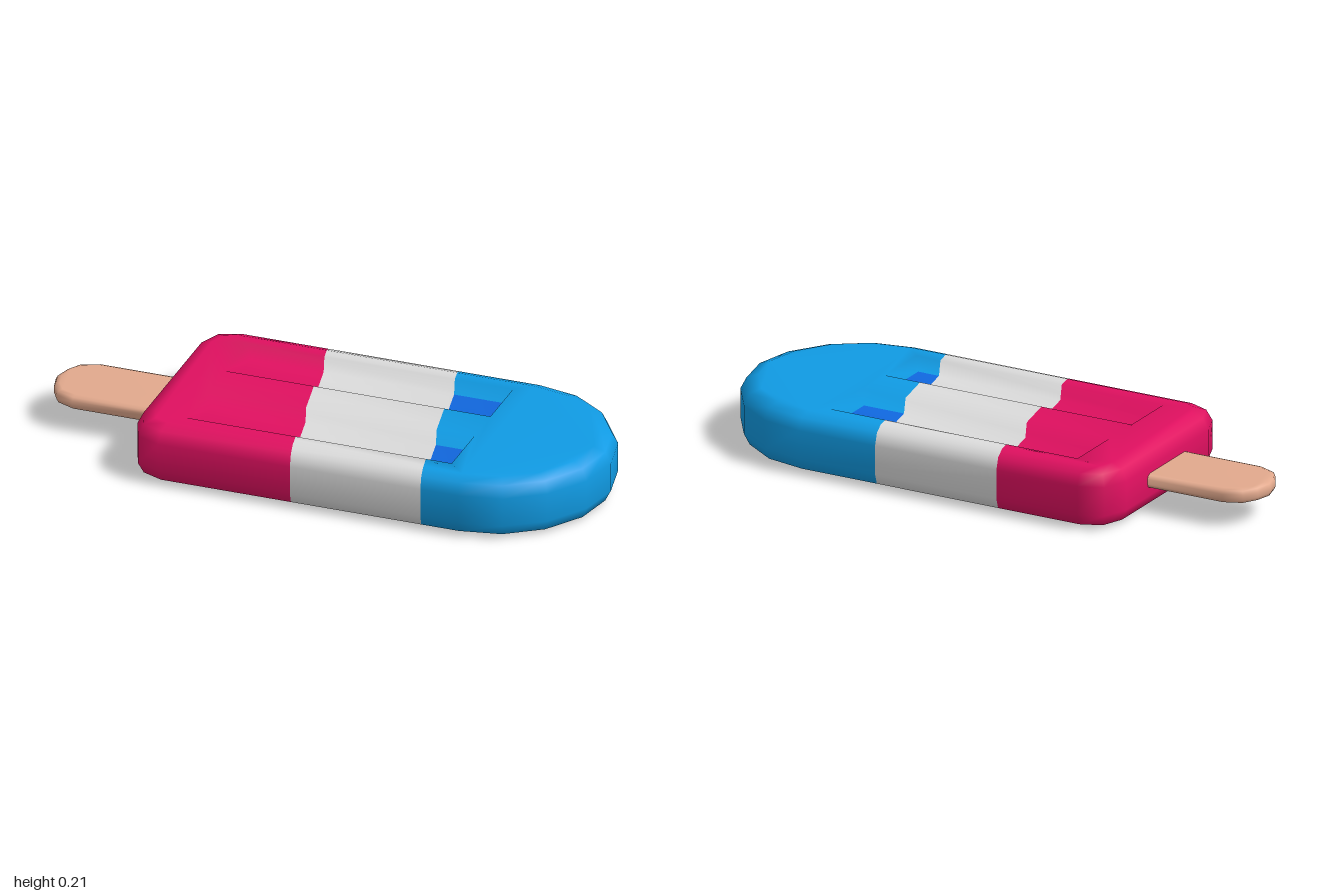
import * as THREE from 'three';
import { mergeVertices } from 'three/addons/utils/BufferGeometryUtils.js';

const mat = (name, color) => new THREE.MeshStandardMaterial({ name, color });
const V2 = (x, z) => new THREE.Vector2(x, z);
const V3 = (x, y, z) => new THREE.Vector3(x, y, z);

// Mirror half an outline (z >= 0, running towards +x) into a closed loop
function mirrorOutline(half) {
  const back = half.filter(([, z]) => z > 0).reverse().map(([x, z]) => [x, -z]);
  return [...half, ...back].map(([x, z]) => V2(x, z));
}

// Move every corner of the loop inwards by d
function inset(loop, d) {
  const normal = (a, b) => V2(a.y - b.y, b.x - a.x).normalize();
  return loop.map((p, i) => {
    const n1 = normal(loop.at(i - 1), p);
    const n2 = normal(p, loop[(i + 1) % loop.length]);
    const k = d / (1 + n1.dot(n2));
    return p.clone().addScaledVector(n1.add(n2), -k);
  });
}

// Triangle list; each triangle is turned so that it faces along a hint
class Surface {
  data = [];
  tri(a, b, c, hint) {
    const n = b.clone().sub(a).cross(c.clone().sub(a));
    const pts = n.dot(hint(V3(0, 0, 0).add(a).add(b).add(c).divideScalar(3))) < 0 ? [a, c, b] : [a, b, c];
    for (const p of pts) this.data.push(p.x, p.y, p.z);
  }
  quad(a, b, c, d, hint) {
    this.tri(a, b, c, hint);
    this.tri(a, c, d, hint);
  }
  geometry() {
    const g = new THREE.BufferGeometry();
    g.setAttribute('position', new THREE.Float32BufferAttribute(this.data, 3));
    const merged = mergeVertices(g, 1e-4);
    merged.computeVertexNormals();
    return merged;
  }
}

// Flat slab with rounded rim; profile rows are [inset, y], holes cut both faces
function slab(loop, profile, holes = []) {
  const s = new Surface();
  const mid = (profile[0][1] + profile.at(-1)[1]) / 2;
  const outward = (c) => V3(c.x - THREE.MathUtils.clamp(c.x, -0.45, 0.6), c.y - mid, c.z);
  const rings = profile.map(([d, y]) => inset(loop, d).map((p) => V3(p.x, y, p.y)));
  for (let j = 0; j + 1 < rings.length; j++) {
    loop.forEach((_, i) => {
      const k = (i + 1) % loop.length;
      s.quad(rings[j][i], rings[j][k], rings[j + 1][k], rings[j + 1][i], outward);
    });
  }
  for (const ring of [rings[0], rings.at(-1)]) {
    const contour = ring.map((p) => V2(p.x, p.z));
    const all = [...contour, ...holes.flat()].map((p) => V3(p.x, ring[0].y, p.y));
    for (const [a, b, c] of THREE.ShapeUtils.triangulateShape(contour, holes)) {
      s.tri(all[a], all[b], all[c], () => V3(0, ring[0].y - mid, 0));
    }
  }
  return s;
}

// Cut a triangle list with the slanted plane x - 0.2 z = limit, keeping one side
const SLANT = 0.2;
function clip(tris, limit, sign) {
  const side = (v) => sign * (v.p.x - SLANT * v.p.z - limit);
  const out = [];
  for (const t of tris) {
    const poly = [];
    t.forEach((a, i) => {
      const b = t[(i + 1) % 3];
      const da = side(a), db = side(b);
      if (da >= 0) poly.push(a);
      if (da * db < 0) {
        const f = da / (da - db);
        poly.push({ p: a.p.clone().lerp(b.p, f), n: a.n.clone().lerp(b.n, f).normalize() });
      }
    });
    for (let i = 1; i + 1 < poly.length; i++) out.push([poly[0], poly[i], poly[i + 1]]);
  }
  return out;
}

function meshFrom(name, tris, material) {
  const verts = tris.flat();
  const g = new THREE.BufferGeometry();
  g.setAttribute('position', new THREE.Float32BufferAttribute(verts.flatMap((v) => v.p.toArray()), 3));
  g.setAttribute('normal', new THREE.Float32BufferAttribute(verts.flatMap((v) => v.n.toArray()), 3));
  const mesh = new THREE.Mesh(g, material);
  mesh.name = name;
  return mesh;
}

export function createModel() {
  const group = new THREE.Group();
  group.name = 'icePop';
  const red = mat('raspberryRed', 0xe01060);
  const white = mat('iceWhite', 0xdcdcdc);
  const blue = mat('berryBlue', 0x109be4);
  const deepBlue = mat('deepBlue', 0x1068e0);
  const wood = mat('stickWood', 0xe2a98d);

  // Ice body with two long grooves in the top and the bottom
  const H = 0.213, DEPTH = 0.05;
  const outline = mirrorOutline([
    [-0.6, 0.28], [-0.565, 0.37], [-0.48, 0.405], [0.6, 0.405],
    [0.75, 0.375], [0.88, 0.285], [0.97, 0.15], [1, 0],
  ]);
  const rect = (x0, x1, z0, z1) => [V2(x0, z0), V2(x1, z0), V2(x1, z1), V2(x0, z1)];
  const grooves = [-0.19, 0.18].map((z) => ({
    z,
    rim: rect(-0.42, 0.535, z - 0.108, z + 0.108),
    floor: rect(-0.405, 0.52, z - 0.092, z + 0.092),
  }));
  const body = slab(
    outline,
    [[0.06, 0], [0.02, 0.015], [0, 0.055], [0, H - 0.055], [0.02, H - 0.015], [0.06, H]],
    grooves.map((g) => g.rim),
  );
  for (const { z, rim, floor } of grooves) {
    for (const [y, fy] of [[H, H - DEPTH], [0, DEPTH]]) {
      const top = rim.map((p) => V3(p.x, y, p.y));
      const low = floor.map((p) => V3(p.x, fy, p.y));
      const inward = (c) => V3(0.06, y, z).sub(c);
      body.quad(...low, inward);
      for (let i = 0; i < 4; i++) {
        const k = (i + 1) % 4;
        body.quad(top[i], top[k], low[k], low[i], inward);
      }
    }
  }

  // Split the body into three slanted colour bands
  const flat = body.geometry().toNonIndexed();
  const { position, normal } = flat.attributes;
  const tris = [];
  for (let i = 0; i < position.count; i += 3) {
    tris.push([0, 1, 2].map((k) => ({
      p: V3().fromBufferAttribute(position, i + k),
      n: V3().fromBufferAttribute(normal, i + k),
    })));
  }
  const RED_END = -0.085, BLUE_START = 0.385;
  const blueTris = clip(tris, BLUE_START, 1);
  const isFloor = (t) => t.every((v) => Math.abs(Math.abs(v.p.y - H / 2) - (H / 2 - DEPTH)) < 1e-4);
  group.add(
    meshFrom('redBand', clip(tris, RED_END, -1), red),
    meshFrom('whiteBand', clip(clip(tris, RED_END, 1), BLUE_START, -1), white),
    meshFrom('blueTip', blueTris.filter((t) => !isFloor(t)), blue),
    meshFrom('grooveFloors', blueTris.filter(isFloor), deepBlue),
  );

  // Wooden stick
  const stickOutline = mirrorOutline([
    [-1, 0], [-0.985, 0.06], [-0.955, 0.11], [-0.89, 0.137], [-0.5, 0.137],
  ]);
  const stick = new THREE.Mesh(
    slab(stickOutline, [[0.02, 0.083], [0.006, 0.088], [0, 0.1], [0, 0.118], [0.006, 0.13], [0.02, 0.135]]).geometry(),
    wood,
  );
  stick.name = 'stick';
  group.add(stick);
  return group;
}
